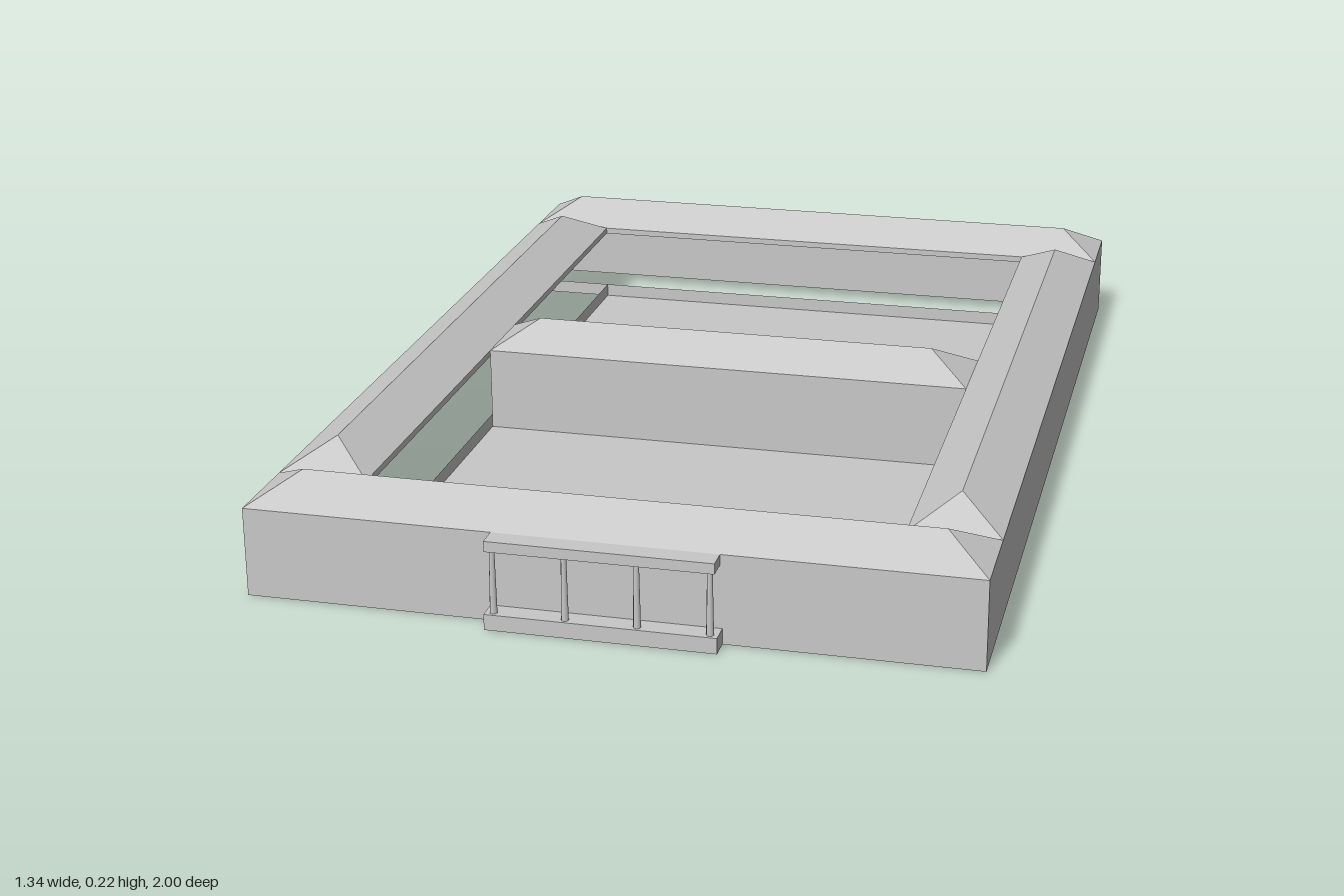
import * as THREE from 'three';

const X = 0.67, XI = 0.5;                              // outer and inner half widths
const BACK = -1, BACK_IN = -0.83, FRONT_IN = 0.79, FRONT = 0.96;
const TOP = 0.17, RIDGE = 0.22;

export function createModel() {
  const group = new THREE.Group();
  const stone = new THREE.MeshStandardMaterial({ color: 0xc8c8c8, side: THREE.DoubleSide });
  stone.name = 'grey stone';

  const add = (name, geometry) => {
    const mesh = new THREE.Mesh(geometry, stone);
    mesh.name = name;
    group.add(mesh);
    return mesh;
  };

  // Box given by its lower and upper limits
  const block = (name, x0, x1, y0, y1, z0, z1) => {
    const mesh = add(name, new THREE.BoxGeometry(x1 - x0, y1 - y0, z1 - z0));
    mesh.position.set((x0 + x1) / 2, (y0 + y1) / 2, (z0 + z1) / 2);
    return mesh;
  };

  // Hipped roof: a box whose top is pinched to a ridge along its longer side
  const hippedRoof = (name, x0, x1, z0, z1) => {
    const w = x1 - x0, d = z1 - z0, inset = Math.min(w, d) / 2;
    const geometry = new THREE.BoxGeometry(w, RIDGE - TOP, d);
    const p = geometry.attributes.position;
    for (let i = 0; i < p.count; i++) {
      if (p.getY(i) < 0) continue;
      p.setX(i, Math.sign(p.getX(i)) * (w / 2 - inset));
      p.setZ(i, Math.sign(p.getZ(i)) * (d / 2 - inset));
    }
    const flat = geometry.toNonIndexed();
    flat.computeVertexNormals();
    add(name, flat).position.set((x0 + x1) / 2, (TOP + RIDGE) / 2, (z0 + z1) / 2);
  };

  // Upright sheet between two ground points
  const sheet = (name, xa, za, xb, zb, y0, y1) => {
    const mesh = add(name, new THREE.PlaneGeometry(Math.hypot(xb - xa, zb - za), y1 - y0));
    mesh.position.set((xa + xb) / 2, (y0 + y1) / 2, (za + zb) / 2);
    mesh.rotation.y = Math.atan2(-(zb - za), xb - xa);
  };

  // Outer walls
  sheet('frontWall', -X, FRONT, X, FRONT, 0, TOP);
  sheet('backWall', X, BACK, -X, BACK, 0, TOP);
  sheet('leftWall', X, FRONT, X, BACK, 0, TOP);
  sheet('rightWall', -X, BACK, -X, FRONT, 0, TOP);

  // Courtyard floor
  const floor = add('courtyardFloor', new THREE.PlaneGeometry(2 * XI, FRONT_IN - BACK_IN));
  floor.rotation.x = -Math.PI / 2;
  floor.position.z = (FRONT_IN + BACK_IN) / 2;

  // Sills and lintels of the open inner galleries
  for (const [part, y0, y1] of [['Sill', 0, 0.028], ['Lintel', 0.157, TOP]]) {
    sheet('front' + part, X, FRONT_IN, -X, FRONT_IN, y0, y1);
    sheet('back' + part, -X, BACK_IN, X, BACK_IN, y0, y1);
    sheet('left' + part, XI, BACK_IN, XI, FRONT_IN, y0, y1);
    sheet('right' + part, -XI, FRONT_IN, -XI, BACK_IN, y0, y1);
  }

  // Cross wing dividing the courtyard
  block('crossWing', -XI, XI, 0, TOP, -0.105, 0.065);

  // Roofs
  hippedRoof('frontRoof', -X, X, FRONT_IN, FRONT);
  hippedRoof('backRoof', -X, X, BACK, BACK_IN);
  hippedRoof('leftRoof', XI, X, BACK_IN, FRONT_IN);
  hippedRoof('rightRoof', -X, -XI, BACK_IN, FRONT_IN);
  hippedRoof('crossRoof', -XI, XI, -0.105, 0.065);

  // Entrance porch: base, canopy and slender posts
  block('porchBase', -0.21, 0.21, 0, 0.03, FRONT, 1);
  block('porchCanopy', -0.206, 0.206, 0.15, TOP, FRONT, 1);
  for (const x of [-0.195, -0.065, 0.065, 0.195]) {
    const post = add('porchPost', new THREE.CylinderGeometry(0.005, 0.007, 0.12, 8));
    post.position.set(x, 0.09, 0.988);
  }
  return group;
}
